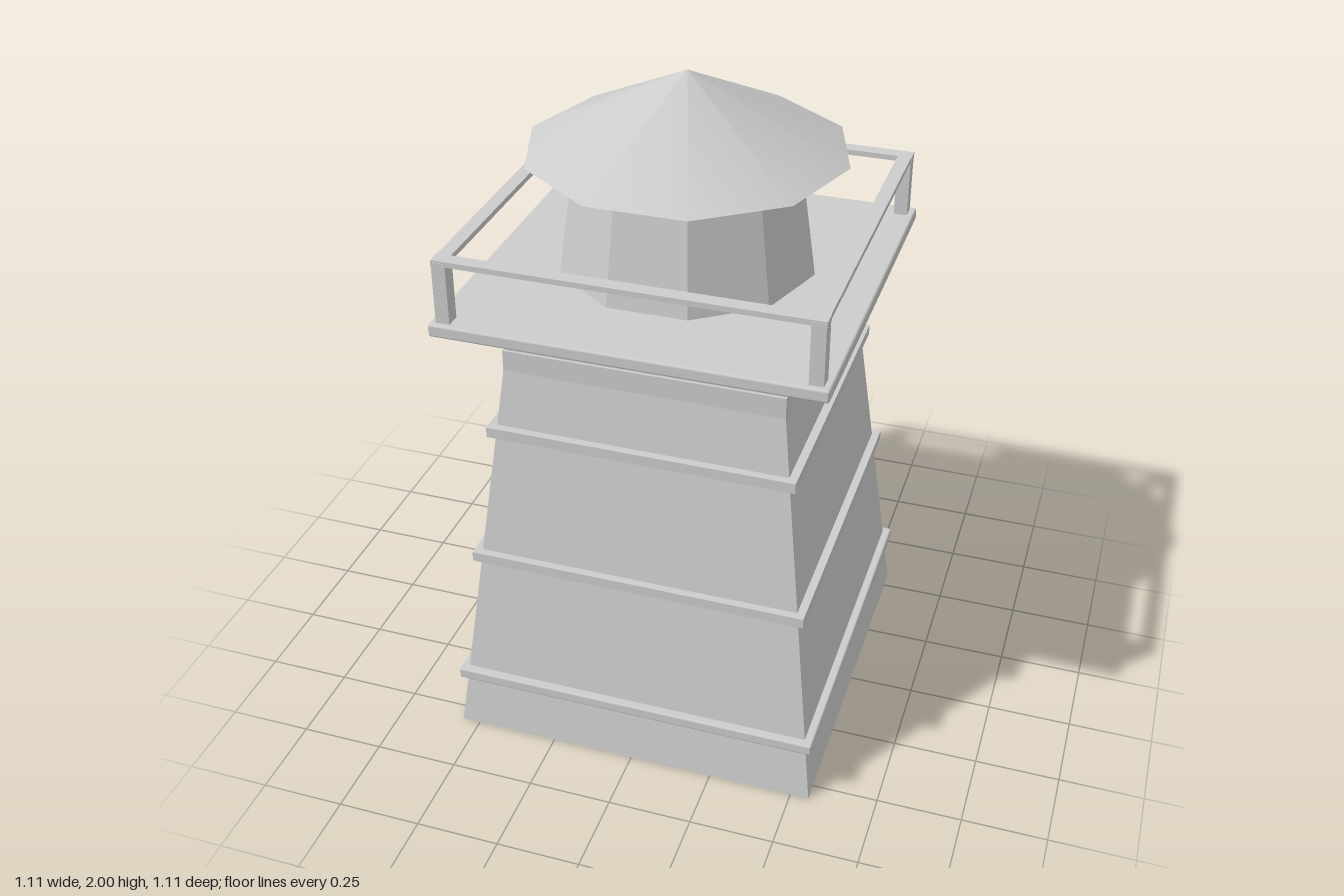
import * as THREE from 'three';
import { RoundedBoxGeometry } from 'three/addons/geometries/RoundedBoxGeometry.js';

export function createModel() {
  const group = new THREE.Group();
  const grey = new THREE.MeshStandardMaterial({ color: 0xcccccc });
  grey.name = 'light grey';
  const flatGrey = (geometry) => {
    const flat = geometry.toNonIndexed();
    flat.computeVertexNormals();
    return flat;
  };
  const add = (name, geometry, x = 0, y = 0, z = 0) => {
    const mesh = new THREE.Mesh(geometry, grey);
    mesh.name = name;
    mesh.position.set(x, y, z);
    group.add(mesh);
    return mesh;
  };
  // Square slab between two heights
  const slab = (name, half, y0, y1, radius = 0) => add(name,
    radius ? new RoundedBoxGeometry(half * 2, y1 - y0, half * 2, 2, radius)
      : new THREE.BoxGeometry(half * 2, y1 - y0, half * 2), 0, (y0 + y1) / 2, 0);

  // Tapered square tower
  const tower = new THREE.CylinderGeometry(0.387 * Math.SQRT2, 0.555 * Math.SQRT2, 1.39, 4);
  tower.rotateY(Math.PI / 4);
  add('tower', flatGrey(tower), 0, 0.695, 0);

  // Trim bands and the collar below the deck
  slab('lowerBand', 0.555, 0.17, 0.205, 0.006);
  slab('middleBand', 0.503, 0.595, 0.626);
  slab('upperBand', 0.453, 1.012, 1.044);
  slab('collar', 0.408, 1.15, 1.28);

  // Gallery deck
  slab('deck', 0.555, 1.38, 1.418, 0.007);

  // Railing posts and top rails
  const r = 0.516;
  for (const sx of [-1, 1]) {
    for (const sz of [-1, 1]) {
      add('railPost', new THREE.BoxGeometry(0.04, 0.19, 0.045), sx * r, 1.505, sz * r);
    }
    add('sideRail', new THREE.BoxGeometry(0.04, 0.016, 0.99), sx * r, 1.598, 0);
    add('crossRail', new THREE.BoxGeometry(1.075, 0.016, 0.042), 0, 1.598, sx * r);
  }

  // Ten-sided lantern room, tapering upward
  const lantern = new THREE.CylinderGeometry(0.326, 0.375, 0.335, 10);
  lantern.rotateY(Math.PI / 2);
  add('lanternRoom', flatGrey(lantern), 0, 1.6075, 0);

  // Smooth conical roof with a flat underside
  const roof = new THREE.ConeGeometry(0.46, 0.225, 10);
  roof.rotateY(Math.PI / 2);
  add('roof', roof, 0, 1.8875, 0);

  return group;
}
